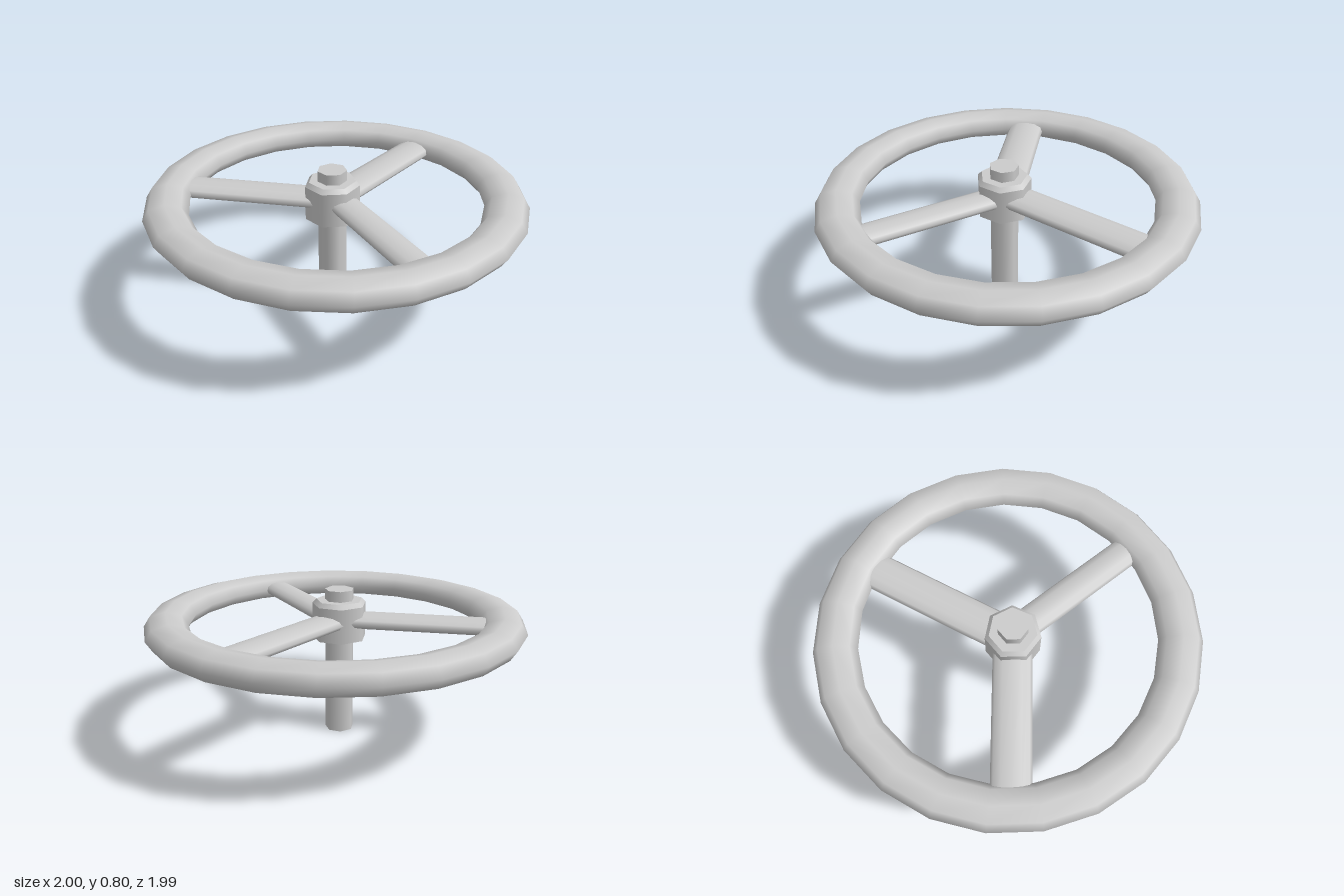
import * as THREE from 'three';

const MID_Y = 0.63;   // height of the wheel plane
const HUB_X = -0.03;  // hub axis sits slightly off the rim centre

export function createModel() {
  const group = new THREE.Group();
  const material = new THREE.MeshStandardMaterial({ color: 0xcccccc });

  const add = (name, geometry) => {
    const mesh = new THREE.Mesh(geometry, material);
    mesh.name = name;
    group.add(mesh);
    return mesh;
  };

  // Seven-sided upright section on the hub axis, one corner pointing to +x
  const heptagon = (name, rTop, rBottom, y0, y1) => {
    const g = new THREE.CylinderGeometry(rTop, rBottom, y1 - y0, 7);
    g.rotateY(Math.PI / 2);
    g.translate(HUB_X, (y0 + y1) / 2, 0);
    return add(name, g);
  };

  // Rim: flattened ring, 23 segments with an eight-sided section
  const rim = new THREE.TorusGeometry(0.885, 0.115, 8, 23);
  rim.rotateX(Math.PI / 2);
  rim.rotateY(Math.PI / 2);
  rim.scale(1, 0.65, 1);
  rim.translate(0, MID_Y, 0);
  add('rim', rim);

  // Stem through the hub, hub body and its chamfered top
  heptagon('stem', 0.078, 0.078, 0, 0.795);
  heptagon('hub', 0.146, 0.146, 0.53, 0.715);
  heptagon('hubChamfer', 0.125, 0.146, 0.715, 0.738);

  // Spokes: flattened bars from the hub into the rim
  const spokes = [
    { angle: 9.5, startX: HUB_X, halfWidth: 0.102, length: 0.89 },
    { angle: 126.6, startX: HUB_X, halfWidth: 0.102, length: 0.82 },
    { angle: 255.2, startX: -0.01, halfWidth: 0.083, length: 0.84 },
  ];
  for (const { angle, startX, halfWidth, length } of spokes) {
    const g = new THREE.CylinderGeometry(1, 1, length, 12);
    g.rotateZ(-Math.PI / 2);
    g.translate(length / 2, 0, 0);
    g.scale(1, 0.04, halfWidth);
    g.rotateY(THREE.MathUtils.degToRad(angle));
    g.translate(startX, MID_Y, 0);
    add('spoke', g);
  }

  return group;
}
